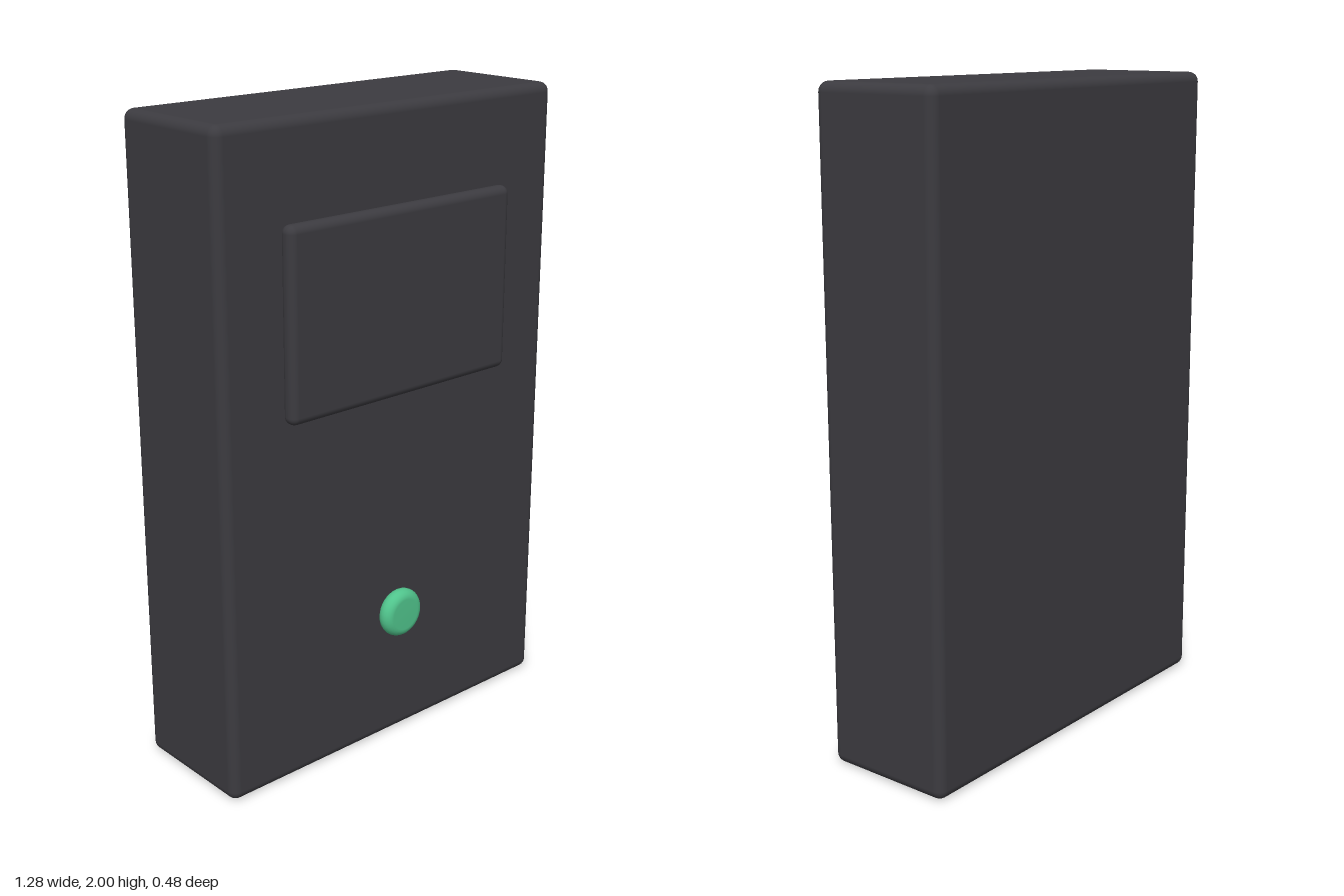
import * as THREE from 'three';
import { RoundedBoxGeometry } from 'three/addons/geometries/RoundedBoxGeometry.js';

export function createModel() {
  const model = new THREE.Group();
  const charcoal = new THREE.MeshStandardMaterial({ name: 'charcoal', color: 0x3c3b40 });
  const green = new THREE.MeshStandardMaterial({ name: 'green', color: 0x50c48c });

  const add = (name, geometry, material, y, z) => {
    const mesh = new THREE.Mesh(geometry, material);
    mesh.name = name;
    mesh.position.set(0, y, z);
    model.add(mesh);
    return mesh;
  };

  // Housing and raised screen panel, both with softly rounded edges
  add('housing', new RoundedBoxGeometry(1.28, 2, 0.425, 4, 0.03), charcoal, 1, -0.0285);
  add('screenPanel', new RoundedBoxGeometry(0.855, 0.57, 0.052, 4, 0.024), charcoal, 1.431, 0.2);

  // Round button: flat faces joined by a half-round rim
  const radius = 0.077, rim = 0.027;
  const profile = [new THREE.Vector2(0, -rim)];
  for (let i = 0; i <= 10; i++) {
    const a = -Math.PI / 2 + (Math.PI * i) / 10;
    profile.push(new THREE.Vector2(radius - rim + rim * Math.cos(a), rim * Math.sin(a)));
  }
  profile.push(new THREE.Vector2(0, rim));
  const button = add('button', new THREE.LatheGeometry(profile, 32), green, 0.433, 0.2135);
  button.rotation.x = Math.PI / 2;

  return model;
}
